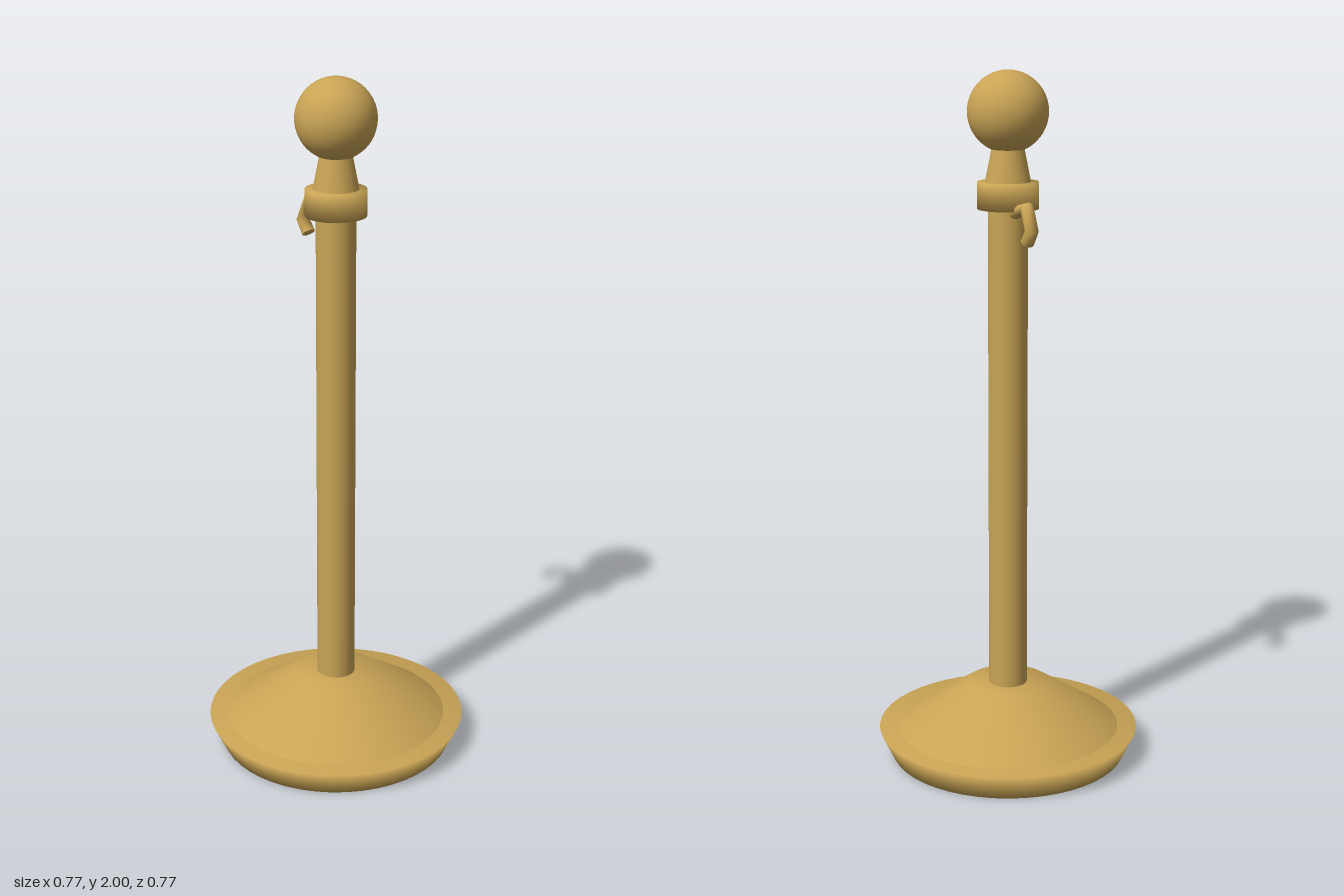
import * as THREE from 'three';

const brass = new THREE.MeshStandardMaterial({ color: 0xc9a455 });

// Soft-shaded turned part from a [radius, height] profile, bottom to top
function turned(name, profile, segments) {
  const points = profile.map(([r, y]) => new THREE.Vector2(r, y));
  return named(name, new THREE.LatheGeometry(points, segments));
}

function named(name, geometry) {
  const mesh = new THREE.Mesh(geometry, brass);
  mesh.name = name;
  return mesh;
}

// Bent hook: one straight piece between each pair of points
function makeHook() {
  const hook = new THREE.Group();
  hook.name = 'ropeHook';
  const curve = new THREE.CatmullRomCurve3([
    new THREE.Vector3(0, 1.612, -0.04),
    new THREE.Vector3(0, 1.635, -0.13),
    new THREE.Vector3(0, 1.577, -0.161),
    new THREE.Vector3(0, 1.543, -0.134),
  ]);
  // Step by control point so the bends stay at the given points
  curve.getPointAt = (u, target) => curve.getPoint(u, target);
  curve.getTangentAt = (u, target) => curve.getTangent(u, target);
  const radius = 0.019;
  hook.add(named('hookRod', new THREE.TubeGeometry(curve, 3, radius, 16)));

  const tip = named('hookTip', new THREE.CircleGeometry(radius, 16));
  tip.position.copy(curve.getPoint(1));
  tip.quaternion.setFromUnitVectors(new THREE.Vector3(0, 0, 1), curve.getTangent(1));
  hook.add(tip);
  return hook;
}

export function createModel() {
  const post = new THREE.Group();
  post.name = 'stanchionPost';

  // Flared foot and sloping cover
  post.add(turned('baseRim', [[0, 0], [0.345, 0], [0.383, 0.08], [0, 0.08]], 48));
  post.add(turned('baseCover', [[0.327, 0.08], [0.12, 0.215], [0, 0.215]], 48));

  // Pole
  const pole = named('pole', new THREE.CylinderGeometry(0.056, 0.056, 1.45, 32));
  pole.position.y = 0.925;
  post.add(pole);

  // Collar, tapered neck and ball finial
  post.add(turned('collar', [[0, 1.62], [0.086, 1.62], [0.086, 1.695], [0, 1.695]], 32));
  const neck = named('neck', new THREE.CylinderGeometry(0.043, 0.067, 0.12, 32));
  neck.position.y = 1.74;
  post.add(neck);
  const ball = named('ballFinial', new THREE.SphereGeometry(0.113, 32, 24));
  ball.position.y = 1.887;
  post.add(ball);

  post.add(makeHook());
  return post;
}
